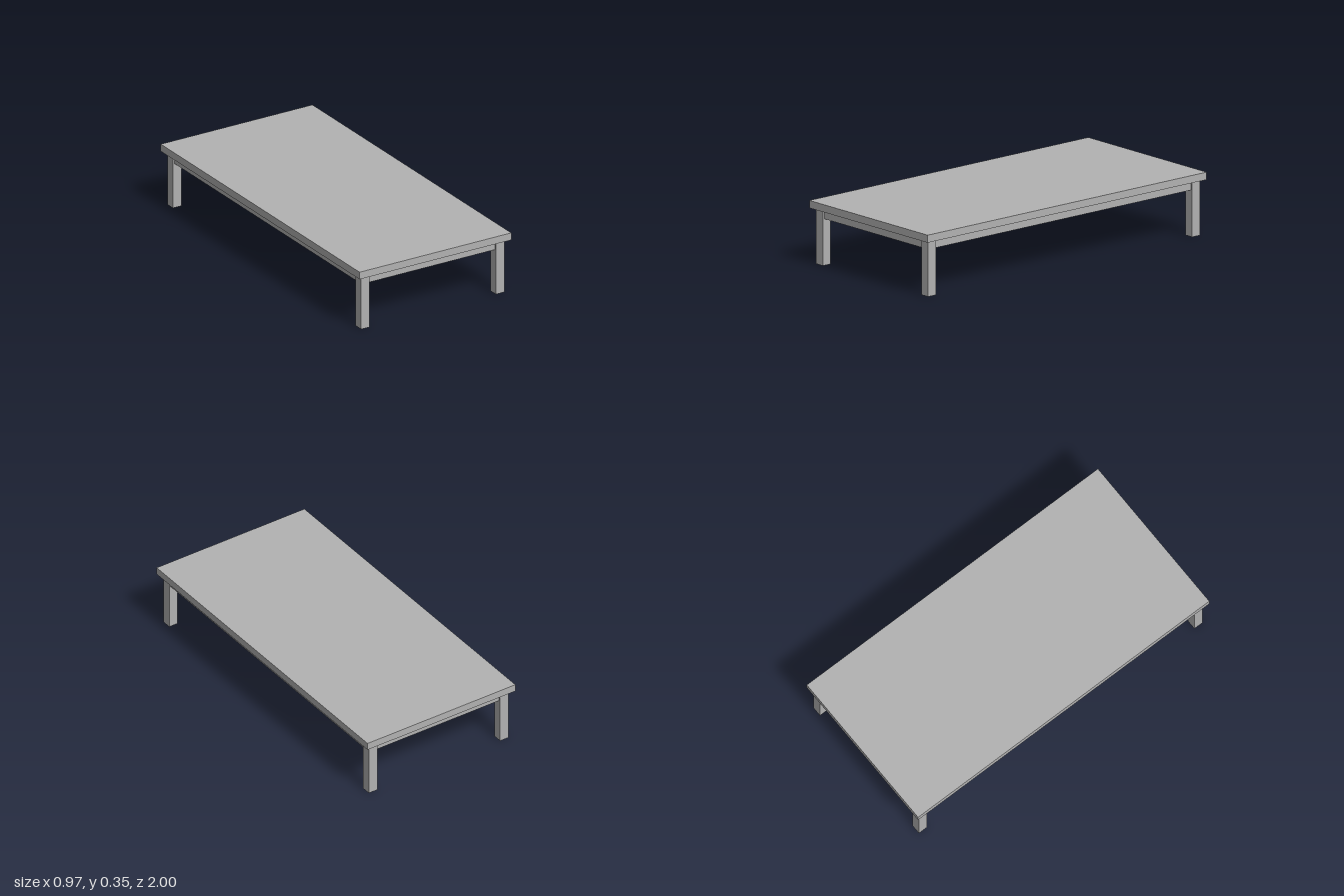
import * as THREE from 'three';

export function createModel() {
  const model = new THREE.Group();
  model.name = 'lowTable';

  const grey = new THREE.MeshStandardMaterial({ color: 0xb2b2b2 });
  grey.name = 'plain grey';

  // Box spanning the heights y0 to y1
  function addBox(name, width, depth, y0, y1, x = 0, z = 0) {
    const mesh = new THREE.Mesh(new THREE.BoxGeometry(width, y1 - y0, depth), grey);
    mesh.name = name;
    mesh.position.set(x, (y0 + y1) / 2, z);
    model.add(mesh);
  }

  // Overhanging top and the solid apron block beneath it
  addBox('tableTop', 0.968, 2, 0.311, 0.353);
  addBox('apron', 0.896, 1.928, 0.26, 0.311);

  // Four square legs standing slightly proud of the apron
  for (const [side, sx] of [['Left', 1], ['Right', -1]]) {
    for (const [end, sz] of [['front', 1], ['back', -1]]) {
      addBox(`${end}${side}Leg`, 0.055, 0.055, 0, 0.311, sx * 0.43, sz * 0.946);
    }
  }
  return model;
}
